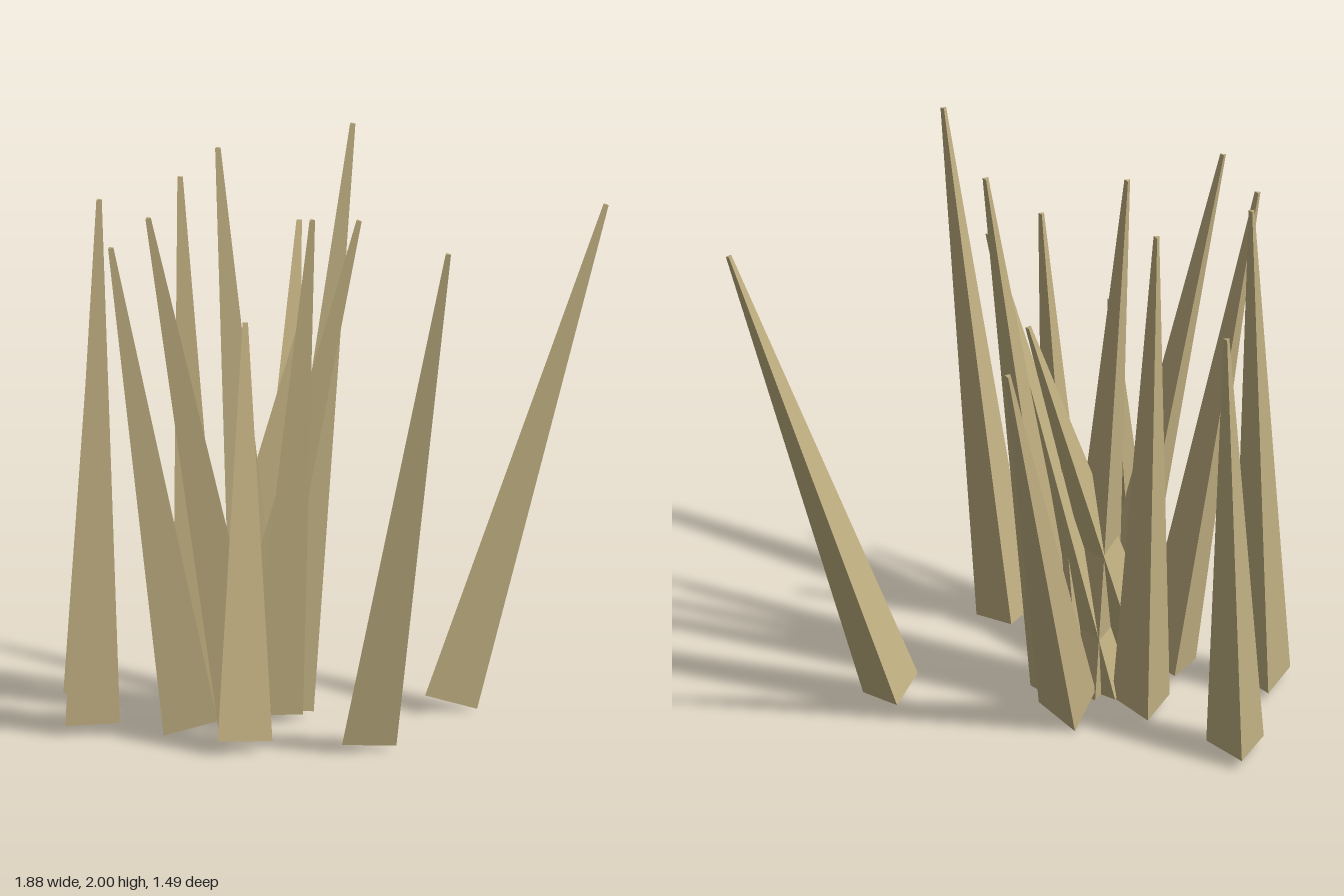
import * as THREE from 'three';

// Each blade: base centre x, z, then tip x, y, z
const BLADES = [
  [-0.165, -0.165, 0.09, 2.0, -0.18],
  [-0.265, -0.15, -0.385, 1.955, -0.175],
  [-0.335, -0.095, -0.755, 1.825, 0.185],
  [-0.42, -0.305, -0.46, 1.825, -0.34],
  [-0.84, -0.18, -0.8, 1.81, -0.18],
  [-0.055, 0.355, 0.105, 1.76, 0.74],
  [-0.215, -0.13, -0.125, 1.735, 0.03],
  [-0.545, -0.04, -0.86, 1.715, 0.11],
  [-0.33, -0.17, 0.06, 1.705, -0.03],
  [0.39, -0.1, 0.93, 1.69, -0.04],
  [-0.69, -0.63, -0.66, 1.56, -0.59],
  [-0.175, -0.3, 0.09, 1.55, -0.72],
  [-0.45, -0.155, -0.05, 1.435, -0.2],
  [-0.455, 0.25, -0.355, 1.4, 0.015],
];
const BASE_Y = 0.037;
const UP = new THREE.Vector3(0, 1, 0);

export function createModel() {
  const group = new THREE.Group();
  group.name = 'grassClump';
  const straw = new THREE.MeshStandardMaterial({ color: 0xbfae80 });
  straw.name = 'dryStraw';
  straw.flatShading = true;

  // Three-sided tapering blades with one edge to the back, leaning to their tips
  BLADES.forEach(([bx, bz, tx, ty, tz], i) => {
    const base = new THREE.Vector3(bx, BASE_Y, bz);
    const axis = new THREE.Vector3(tx, ty, tz).sub(base);
    const length = axis.length();
    const geometry = new THREE.CylinderGeometry(0.011, 0.111, length, 3, 1, false, Math.PI);
    geometry.translate(0, length / 2, 0);
    const blade = new THREE.Mesh(geometry, straw);
    blade.name = `grassBlade${i + 1}`;
    blade.position.copy(base);
    blade.quaternion.setFromUnitVectors(UP, axis.normalize());
    group.add(blade);
  });
  return group;
}
